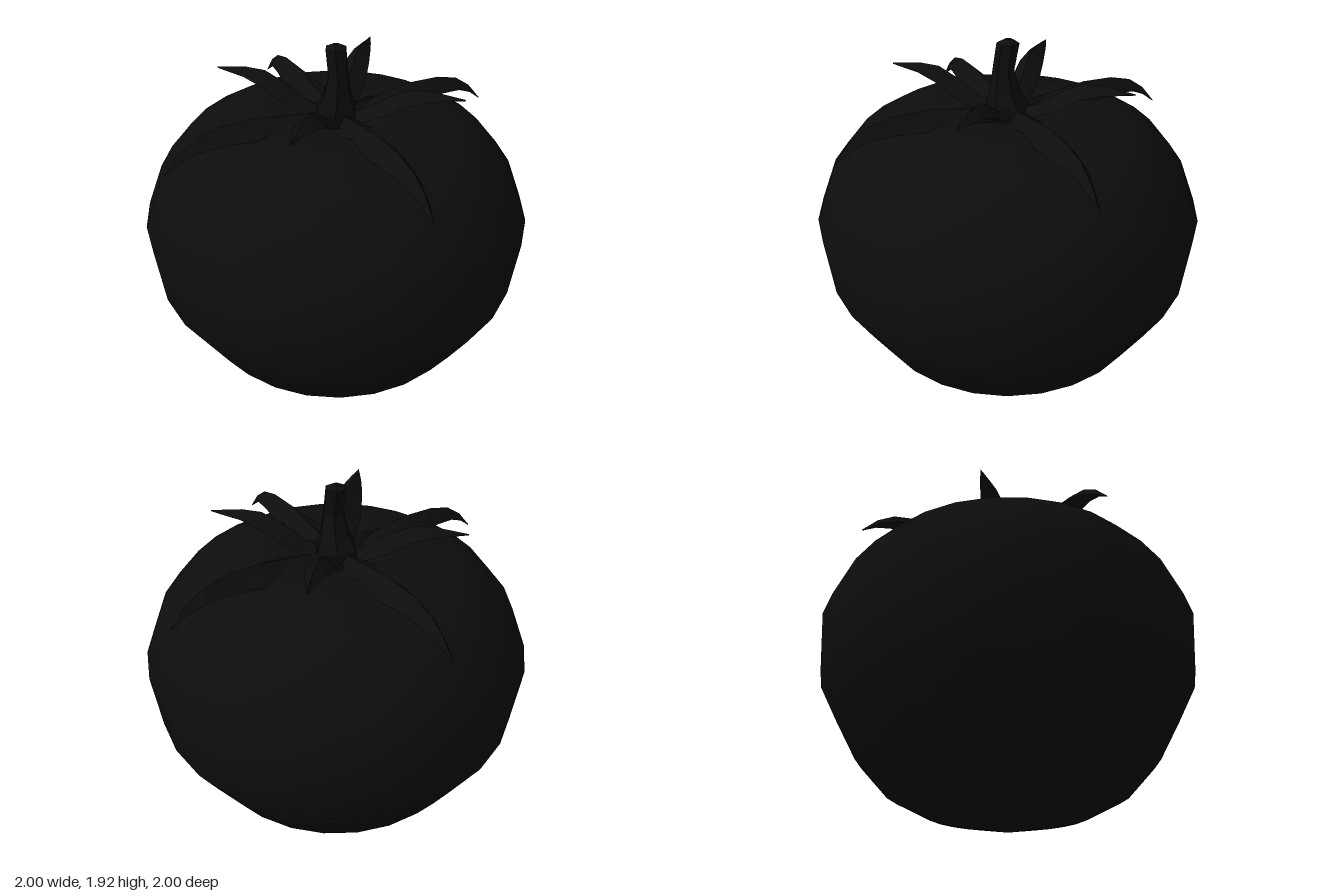
import * as THREE from 'three';

const COLOR = 0x0d0d0d;
const smoothMat = new THREE.MeshStandardMaterial({ color: COLOR });
const facetMat = new THREE.MeshStandardMaterial({ color: COLOR, flatShading: true, side: THREE.DoubleSide });

// Joins rings of points (counter-clockwise seen from the far end) and caps both ends
function loft(rings) {
  const n = rings[0].length;
  const pos = rings.flat(2);
  const idx = [];
  for (let i = 0; i < rings.length - 1; i++) {
    for (let j = 0; j < n; j++) {
      const k = (j + 1) % n;
      const a = i * n + j, b = i * n + k, c = a + n, d = b + n;
      idx.push(a, b, c, b, d, c);
    }
  }
  const last = (rings.length - 1) * n;
  for (let j = 1; j < n - 1; j++) {
    idx.push(0, j + 1, j, last, last + j, last + j + 1);
  }
  const g = new THREE.BufferGeometry();
  g.setAttribute('position', new THREE.Float32BufferAttribute(pos, 3));
  g.setIndex(idx);
  g.computeVertexNormals();
  return g;
}

// Leaf along +x with a raised middle ridge; stations are [x, ridge y, edge y, half width]
const leaf = (stations) => loft(stations.map(([x, top, low, w]) =>
  [[x, top, 0], [x, low, w], [x, low, -w]]));

export function createModel() {
  const model = new THREE.Group();
  const add = (name, geometry, material) => {
    const mesh = new THREE.Mesh(geometry, material);
    mesh.name = name;
    model.add(mesh);
    return mesh;
  };

  // Fruit with a shallow dip under the stem
  const profile = [
    [0, 0], [0.42, 0.085], [0.62, 0.185], [0.77, 0.345], [0.88, 0.54],
    [0.975, 0.72], [1, 1.04], [0.905, 1.27], [0.77, 1.43], [0.65, 1.5],
    [0.45, 1.56], [0.3, 1.575], [0.15, 1.54], [0, 1.5],
  ].map(([r, y]) => new THREE.Vector2(r, y));
  add('fruit', new THREE.LatheGeometry(profile, 28), smoothMat);

  // Four long leaves that lie over the shoulder, four short ones that curl up between them
  const longLeaf = leaf([
    [0.04, 1.58, 1.52, 0.04], [0.22, 1.605, 1.56, 0.09], [0.43, 1.635, 1.555, 0.085],
    [0.6, 1.63, 1.56, 0.06], [0.72, 1.6, 1.545, 0.04], [0.81, 1.54, 1.505, 0.02],
    [0.89, 1.45, 1.445, 0.002],
  ]);
  const shortLeaf = leaf([
    [0.04, 1.57, 1.52, 0.04], [0.15, 1.61, 1.56, 0.065], [0.27, 1.69, 1.62, 0.075],
    [0.37, 1.74, 1.68, 0.065], [0.47, 1.745, 1.71, 0.045], [0.55, 1.735, 1.715, 0.025],
    [0.63, 1.725, 1.72, 0.002],
  ]);
  for (let i = 0; i < 4; i++) {
    add('longLeaf' + (i + 1), longLeaf, facetMat).rotation.y = i * Math.PI / 2;
    add('shortLeaf' + (i + 1), shortLeaf, facetMat).rotation.y = (i + 0.5) * Math.PI / 2;
  }

  // Bent six-sided stem, flared at the foot: [y, radius, z offset]
  const stem = [
    [1.49, 0.12, 0], [1.59, 0.11, 0], [1.66, 0.078, 0.015],
    [1.77, 0.053, 0.025], [1.9, 0.055, 0], [1.92, 0.015, 0],
  ].map(([y, r, z]) => Array.from({ length: 6 }, (_, j) => {
    const t = (j + 0.5) * Math.PI / 3;
    return [r * Math.sin(t), y, z + r * Math.cos(t)];
  }));
  add('stem', loft(stem), facetMat);

  return model;
}
